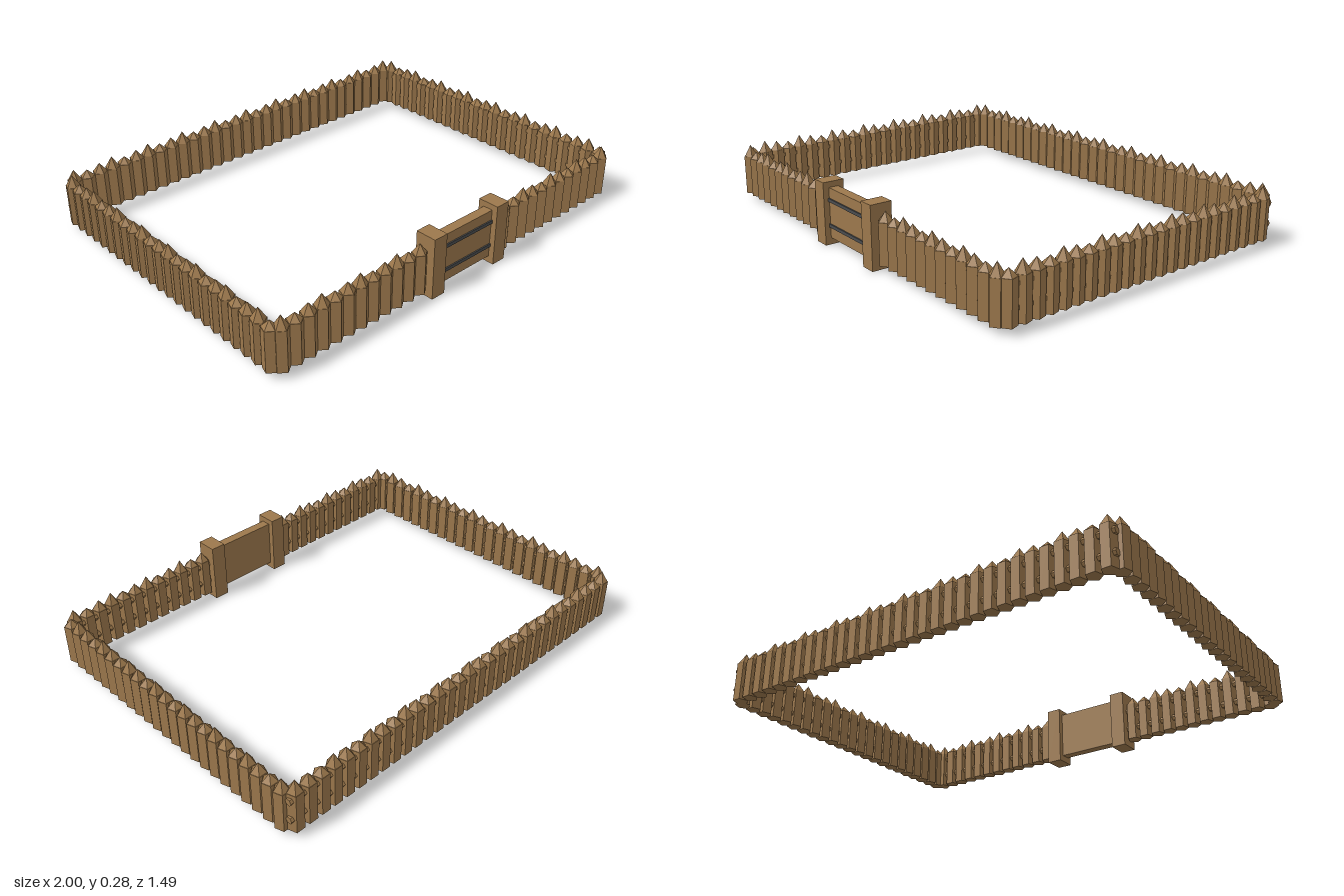
import * as THREE from 'three';

const wood = new THREE.MeshStandardMaterial({ color: 0x9c784c, flatShading: true });
wood.name = 'wood';
const iron = new THREE.MeshStandardMaterial({ color: 0x4a4c4e, flatShading: true });
iron.name = 'iron';

const R = 0.034, BASE = 0.03, TOP = 0.21;
const FRONT = 0.696, BACK = -0.717, SIDE = 0.967;
const TIP_HEIGHTS = [0.052, 0.032, 0.042];

const stakeGeo = new THREE.CylinderGeometry(R, R, TOP - BASE, 5);
const tipGeos = TIP_HEIGHTS.map(h => new THREE.ConeGeometry(R * 0.94, h, 5));

function add(parent, name, geo, mat, x, y, z) {
  const mesh = new THREE.Mesh(geo, mat);
  mesh.name = name;
  mesh.position.set(x, y, z);
  parent.add(mesh);
  return mesh;
}

// Row of pointed stakes from one end point to the other
function stakeRow(wall, x0, z0, x1, z1, count) {
  for (let i = 0; i < count; i++) {
    const t = i / (count - 1);
    const x = x0 + (x1 - x0) * t, z = z0 + (z1 - z0) * t;
    add(wall, 'stake', stakeGeo, wood, x, (BASE + TOP) / 2, z);
    add(wall, 'stakeTip', tipGeos[i % 3], wood, x, TOP + TIP_HEIGHTS[i % 3] / 2, z);
  }
}

// Two horizontal rails running through a row of stakes
function rails(wall, x, z, length, alongX) {
  for (const y of [0.09, 0.18]) {
    const geo = new THREE.CylinderGeometry(0.016, 0.016, length, 6);
    if (alongX) geo.rotateZ(Math.PI / 2);
    else geo.rotateX(Math.PI / 2);
    add(wall, 'rail', geo, wood, x, y, z);
  }
}

function newWall(parent, name) {
  const wall = new THREE.Group();
  wall.name = name;
  parent.add(wall);
  return wall;
}

export function createModel() {
  const model = new THREE.Group();
  model.name = 'palisade';

  // Back wall
  const back = newWall(model, 'backWall');
  stakeRow(back, -0.938, BACK, 0.938, BACK, 31);
  rails(back, 0, BACK - 0.004, 1.95, true);

  // Side walls and the two halves of the front wall
  for (const s of [-1, 1]) {
    const side = newWall(model, s > 0 ? 'leftWall' : 'rightWall');
    stakeRow(side, s * SIDE, -0.68, s * SIDE, 0.67, 23);
    rails(side, s * SIDE, -0.005, 1.38, false);

    const front = newWall(model, s > 0 ? 'frontWallLeft' : 'frontWallRight');
    stakeRow(front, s * 0.938, FRONT, s * 0.25, FRONT, 12);
    rails(front, s * 0.58, FRONT - 0.004, 0.76, true);
  }

  // Gate with posts and iron straps
  const gate = newWall(model, 'gate');
  add(gate, 'gatePanel', new THREE.BoxGeometry(0.31, 0.22, 0.044), wood, 0, 0.14, FRONT);
  for (const s of [-1, 1])
    add(gate, 'gatePost', new THREE.BoxGeometry(0.07, 0.275, 0.096), wood, s * 0.184, 0.1375, FRONT);
  for (const y of [0.085, 0.197])
    add(gate, 'gateStrap', new THREE.BoxGeometry(0.3, 0.015, 0.008), iron, 0, y, FRONT + 0.024);

  return model;
}
